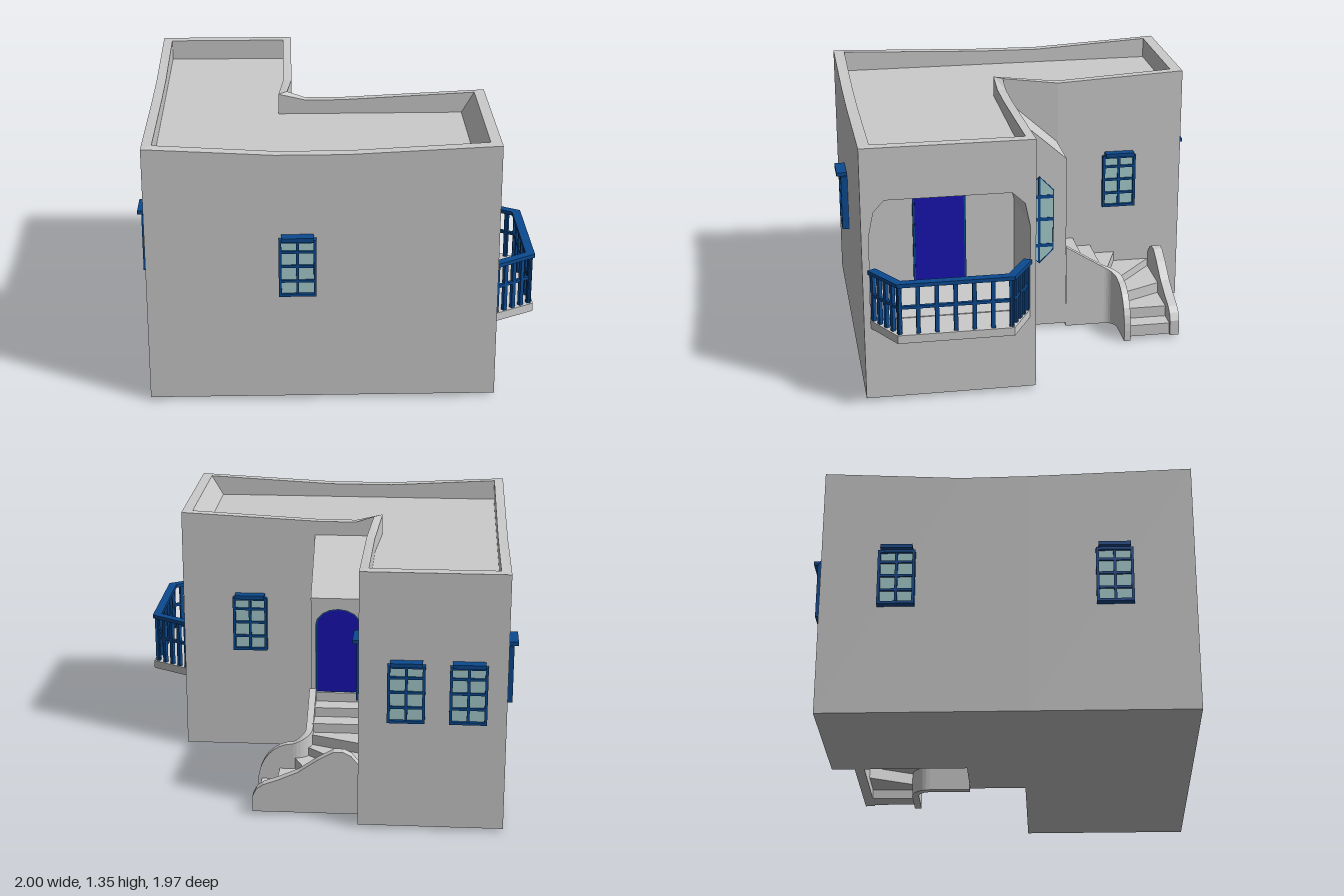
import * as THREE from 'three';

const mat = (color) => new THREE.MeshStandardMaterial({ color, flatShading: true, side: THREE.DoubleSide });
const plaster = mat(0xcccccc), blue = mat(0x0b4a90), glassMat = mat(0xa8cfd0), doorMat = mat(0x1814b4);
const base = 0.016;

function add(parent, name, geometry, material = plaster) {
  const mesh = new THREE.Mesh(geometry, material);
  mesh.name = name;
  parent.add(mesh);
  return mesh;
}

function box(parent, name, size, pos, material) {
  const mesh = add(parent, name, new THREE.BoxGeometry(...size), material);
  mesh.position.set(...pos);
  return mesh;
}

const shapeOf = (pts) => new THREE.Shape(pts.map(([x, y]) => new THREE.Vector2(x, y)));
function extrude(pts, depth, hole) {
  const shape = shapeOf(pts);
  if (hole) shape.holes.push(shapeOf(hole));
  return new THREE.ExtrudeGeometry(shape, { depth, bevelEnabled: false });
}

// Quads between successive rings of [x, y, z]; skip(ring, side) leaves a gap
function loft(rings, skip = () => false) {
  const pos = [], n = rings[0].length;
  for (let r = 0; r < rings.length - 1; r++) {
    for (let i = 0; i < n; i++) {
      if (skip(r, i)) continue;
      const j = (i + 1) % n;
      const a = rings[r][i], b = rings[r][j], c = rings[r + 1][j], d = rings[r + 1][i];
      pos.push(...a, ...b, ...c, ...a, ...c, ...d);
    }
  }
  const g = new THREE.BufferGeometry();
  g.setAttribute('position', new THREE.Float32BufferAttribute(pos, 3));
  g.computeVertexNormals();
  return g;
}

// Window facing +z, centred on its back
function addWindow(parent, x, z, angle) {
  const g = new THREE.Group();
  g.name = 'window';
  box(g, 'glass', [0.17, 0.28, 0.02], [0, 0, 0.01], glassMat);
  for (const s of [-1, 1]) {
    box(g, 'frameSide', [0.014, 0.3, 0.036], [s * 0.086, 0, 0.018], blue);
    box(g, 'frameRail', [0.185, 0.014, 0.036], [0, s * 0.143, 0.018], blue);
  }
  box(g, 'mullion', [0.014, 0.29, 0.03], [0, 0, 0.015], blue);
  for (const y of [-0.07, 0.009, 0.085]) box(g, 'glazingBar', [0.17, 0.013, 0.03], [0, y, 0.015], blue);
  box(g, 'cap', [0.16, 0.02, 0.055], [0, 0.16, 0.03], blue);
  g.position.set(x, 0.734, z);
  g.rotation.y = angle;
  parent.add(g);
}

// Straight run of balcony railing between two [x, z] points
function addRailing(parent, [x0, z0], [x1, z1], posts) {
  const len = Math.hypot(x1 - x0, z1 - z0);
  const g = new THREE.Group();
  g.name = 'railing';
  box(g, 'handrail', [len + 0.02, 0.02, 0.045], [len / 2, 0.708, 0], blue);
  box(g, 'middleRail', [len, 0.015, 0.018], [len / 2, 0.586, 0], blue);
  for (let i = 0; i <= posts; i++) box(g, 'post', [0.02, 0.26, 0.02], [len * i / posts, 0.574, 0], blue);
  g.position.set(x0, 0, z0);
  g.rotation.y = Math.atan2(z0 - z1, x1 - x0);
  parent.add(g);
}

function addHouse(parent) {
  // Outline: outer x, z, wall height, inner x, z
  const plan = [
    [-0.94, 0.928, 1.35, -0.89, 0.87], [-0.3, 0.928, 1.315, -0.3, 0.87],
    [0.05, 0.928, 1.315, 0.05, 0.87], [0.8, 0.928, 1.35, 0.745, 0.87],
    [0.8, 0.06, 1.35, 0.745, 0.105], [0.05, 0.06, 1.315, 0.05, 0.105],
    [-0.14, 0.06, 1.315, -0.14, 0.105],
    [-0.235, 0.06, 1.348, -0.28, 0.105], [-0.21, -0.24, 1.315, -0.255, -0.24],
    [-0.21, -0.935, 1.35, -0.255, -0.875], [-0.94, -0.935, 1.35, -0.89, -0.875],
    [-0.94, -0.24, 1.315, -0.89, -0.24], [-0.94, 0.1, 1.32, -0.89, 0.1],
  ];
  const roofY = 1.24;
  const floorX = (x) => (x > 0.7 ? 0.68 : x);
  add(parent, 'wallsAndParapet', loft([
    plan.map(([x, z]) => [x, base, z]),
    plan.map(([x, z, h]) => [x, h, z]),
    plan.map(([, , h, x, z]) => [x, h, z]),
    plan.map(([, , , x, z]) => [floorX(x), roofY, z]),
  ], (r, i) => r === 0 && i === 3));
  const roof = new THREE.ShapeGeometry(shapeOf(plan.map(([, , , x, z]) => [floorX(x), -z])));
  add(parent, 'roof', roof.rotateX(-Math.PI / 2)).position.y = roofY;
  const bottom = new THREE.ShapeGeometry(shapeOf(plan.map(([x, z]) => [x, z])));
  add(parent, 'base', bottom.rotateX(Math.PI / 2)).position.y = base;

  // Right wall with the arched balcony recess, as z, y
  const arch = [[0.895, 0.45], [0.89, 0.9], [0.865, 1.02], [0.81, 1.08],
    [0.18, 1.08], [0.115, 1.02], [0.09, 0.9], [0.09, 0.45]];
  const inner = arch.map(([z, y]) => [0.49 + (z - 0.49) * 0.97, 0.45 + (y - 0.45) * 0.96]);
  const wall = shapeOf([[-0.928, base], [-0.06, base], [-0.06, 1.35], [-0.928, 1.35]]);
  wall.holes.push(shapeOf(arch.map(([z, y]) => [-z, y])));
  add(parent, 'balconyWall', new THREE.ShapeGeometry(wall).rotateY(Math.PI / 2)).position.x = 0.8;
  const backX = 0.38;
  add(parent, 'recess', loft([
    arch.map(([z, y]) => [0.8, y, z]), inner.map(([z, y]) => [backX, y, z]),
  ]));
  const back = new THREE.ShapeGeometry(shapeOf(inner.map(([z, y]) => [-z, y])));
  add(parent, 'recessBack', back.rotateY(Math.PI / 2)).position.x = backX;
  box(parent, 'balconyDoorFrame', [0.02, 0.5, 0.275], [backX + 0.006, 0.7, 0.495], blue);
  box(parent, 'balconyDoor', [0.02, 0.485, 0.255], [backX + 0.01, 0.697, 0.495], doorMat);
}

function addBalcony(parent) {
  const slab = extrude([[0.8, -0.895], [1, -0.78], [1, -0.2], [0.8, -0.09]], 0.043);
  add(parent, 'balconySlab', slab.rotateX(-Math.PI / 2)).position.y = 0.403;
  const corners = [[0.8, 0.878], [0.977, 0.768], [0.977, 0.212], [0.8, 0.105]];
  [4, 6, 4].forEach((n, i) => addRailing(parent, corners[i], corners[i + 1], n));
}

function addPorch(parent) {
  // Lean-to with a sloping roof that covers the top of its front wall
  const porch = extrude([[-0.06, base], [0.21, base], [0.21, 0.96], [0.235, 0.96], [0.235, 0.98], [-0.06, 1.24]], 0.315);
  add(parent, 'porch', porch.rotateY(Math.PI / 2)).position.x = -0.235;

  // Arched door set back in the wall facing the stairs
  const doorShape = (m) => {
    const pts = [[-0.185 + m, 0.45], [0.055 - m, 0.45]];
    for (let i = 0; i <= 8; i++) {
      const a = Math.PI * i / 8;
      pts.push([-0.065 + (0.12 - m) * Math.cos(a), 0.83 + (0.09 - m) * Math.sin(a)]);
    }
    return pts;
  };
  const front = extrude([[-0.235, base], [0.08, base], [0.08, 0.96], [-0.235, 0.96]], 0.025, doorShape(0));
  add(parent, 'porchFront', front).position.z = -0.235;
  add(parent, 'porchDoorFrame', extrude(doorShape(0), 0.012, doorShape(0.008)), blue).position.z = -0.222;
  add(parent, 'porchDoor', extrude(doorShape(0.006), 0.006), doorMat).position.z = -0.217;

  // Tall six-sided window, as -z, y
  const hex = (m) => [[0.085, 0.89 - m], [0.005 + m, 0.81 - m / 2], [0.005 + m, 0.465 + m / 2],
    [0.085, 0.385 + m], [0.165 - m, 0.465 + m / 2], [0.165 - m, 0.81 - m / 2]];
  const g = new THREE.Group();
  g.name = 'tallWindow';
  add(g, 'glass', extrude(hex(0.003), 0.004), glassMat);
  add(g, 'frame', extrude(hex(0), 0.007, hex(0.005)), blue);
  box(g, 'mullion', [0.012, 0.49, 0.007], [0.085, 0.638, 0.003], blue);
  for (const y of [0.49, 0.642, 0.772]) box(g, 'glazingBar', [0.16, 0.02, 0.007], [0.085, y, 0.003], blue);
  g.position.x = 0.078;
  g.rotation.y = Math.PI / 2;
  parent.add(g);
}

function addStairs(parent) {
  // Nosing lines from the inner to the outer side, as x, z; the corner fills one tread
  const lines = [
    [[0.06, -0.235], [-0.215, -0.235]], [[0.06, -0.33], [-0.215, -0.33]],
    [[0.06, -0.43], [-0.215, -0.43]], [[0.07, -0.46], [-0.215, -0.57]],
    [[0.08, -0.5], [-0.215, -0.77]], [[0.147, -0.53], [0.035, -0.77]],
    [[0.22, -0.53], [0.22, -0.77]], [[0.315, -0.53], [0.315, -0.77]],
  ];
  [0.4, 0.35, 0.3, 0.245, 0.2, 0.14, 0.08].forEach((h, i) => {
    const [a, b] = lines[i], [d, c] = lines[i + 1];
    const depth = Math.min(h - base, 0.075);
    const tread = extrude([a, b, c, d].map(([x, z]) => [x, -z]), depth);
    add(parent, 'step', tread.rotateX(-Math.PI / 2)).position.y = h - depth;
  });

  // Outer side wall, rising from a low rounded end
  const side = [[0.335, base], [-0.215, base], [-0.215, 0.28], [-0.17, 0.335], [-0.13, 0.355], [-0.08, 0.355],
    [0, 0.31], [0.1, 0.24], [0.2, 0.195], [0.28, 0.165], [0.315, 0.14], [0.335, 0.1]];
  add(parent, 'outerStairWall', extrude(side, 0.05)).position.z = -0.817;

  // Inner side wall, following the turn: x, z, height
  const path = [[0.07, -0.235, 0.47]];
  for (let i = 0; i <= 8; i++) {
    const a = Math.PI / 2 * i / 8;
    path.push([0.15 - 0.08 * Math.cos(a), -0.45 - 0.08 * Math.sin(a), 0.335 - 0.055 * i / 8]);
  }
  for (let i = 1; i <= 8; i++) {
    const a = Math.PI / 2 * i / 8;
    path.push([0.15 + 0.185 * Math.sin(a), -0.53, 0.06 + 0.22 * Math.cos(a)]);
  }
  const rings = path.map(([x, z, h], i) => {
    const p = path[Math.max(i - 1, 0)], q = path[Math.min(i + 1, path.length - 1)];
    const l = Math.hypot(q[0] - p[0], q[1] - p[1]) / 0.018;
    const nx = -(q[1] - p[1]) / l, nz = (q[0] - p[0]) / l;
    return [[x + nx, 0, z + nz], [x + nx, h, z + nz], [x - nx, h, z - nz], [x - nx, 0, z - nz]];
  });
  const end = rings[rings.length - 1];
  rings.push(end.map(() => [0.335, 0.02, -0.53]));
  add(parent, 'innerStairWall', loft(rings));
}

export function createModel() {
  const model = new THREE.Group();
  model.name = 'house';
  addHouse(model);
  addBalcony(model);
  addPorch(model);
  addStairs(model);
  const h = Math.PI / 2;
  [[-0.193, 0.928, 0], [-0.94, -0.555, -h], [-0.94, 0.528, -h], [-0.75, -0.93, Math.PI],
    [-0.445, -0.93, Math.PI], [-0.222, -0.585, h], [0.435, 0.065, Math.PI]]
    .forEach(([x, z, angle]) => addWindow(model, x, z, angle));
  return model;
}
